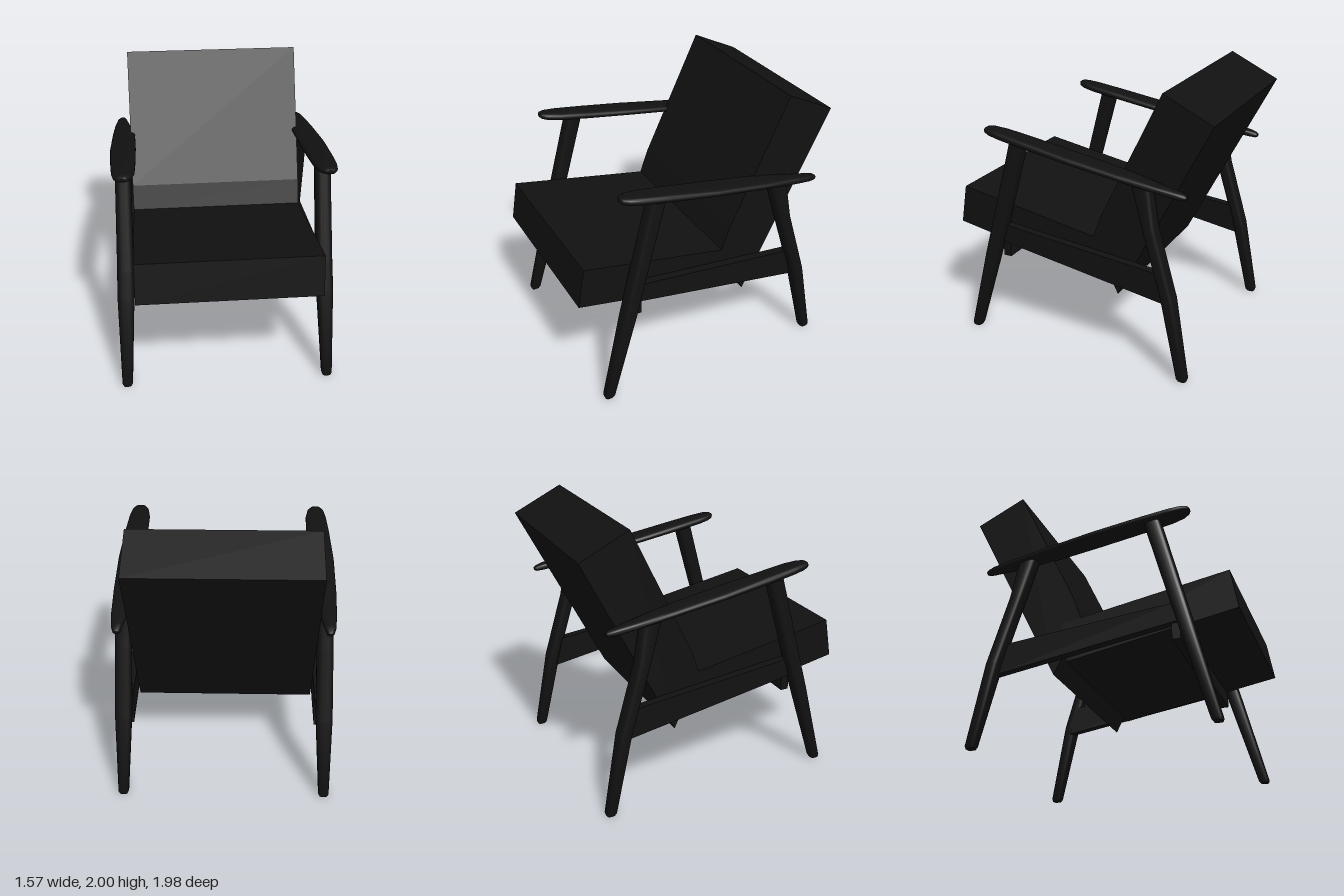
import * as THREE from 'three';
import { toCreasedNormals } from 'three/addons/utils/BufferGeometryUtils.js';

const dark = new THREE.MeshStandardMaterial({ color: 0x111111 });

// Skin a row of rounded-rectangle rings [x, y, z, halfU, halfV].
// U runs along x; V runs along z for upright parts, along y for lying parts.
function loft(rings, lying, power, n = 28) {
  const pos = [], idx = [];
  const soft = (v) => Math.sign(v) * Math.pow(Math.abs(v), power);
  for (const [x, y, z, hu, hv] of rings) {
    for (let i = 0; i < n; i++) {
      const a = (i / n) * Math.PI * 2;
      const u = hu * soft(Math.cos(a)), v = hv * soft(Math.sin(a));
      pos.push(x + u, lying ? y + v : y, lying ? z : z - v);
    }
  }
  const last = rings.length - 1, c0 = rings.length * n, c1 = c0 + 1;
  pos.push(...rings[0].slice(0, 3), ...rings[last].slice(0, 3));
  for (let i = 0; i < n; i++) {
    const j = (i + 1) % n;
    for (let r = 0; r < last; r++) {
      const a = r * n + i, b = r * n + j;
      idx.push(a, b, b + n, a, b + n, a + n);
    }
    idx.push(c0, j, i, c1, last * n + i, last * n + j);
  }
  const g = new THREE.BufferGeometry();
  g.setAttribute('position', new THREE.Float32BufferAttribute(pos, 3));
  g.setIndex(idx);
  return toCreasedNormals(g, 0.7);
}

// Extrude a side profile of [z, y] points between two x positions.
function slab(points, x0, x1) {
  const shape = new THREE.Shape(points.map(([z, y]) => new THREE.Vector2(-z, y)));
  const g = new THREE.ExtrudeGeometry(shape, { depth: x1 - x0, bevelEnabled: false });
  g.rotateY(Math.PI / 2);
  g.translate(x0, 0, 0);
  return g;
}

export function createModel() {
  const group = new THREE.Group();
  const add = (name, geometry, parent = group) => {
    const mesh = new THREE.Mesh(geometry, dark);
    mesh.name = name;
    parent.add(mesh);
    return mesh;
  };

  // Cushions
  add('seatCushion', slab([[0.99, 0.8], [0.94, 1.09], [-0.27, 0.88], [-0.225, 0.585]], -0.64, 0.64));
  add('backCushion', slab([[-0.63, 2], [-0.19, 1.08], [-0.125, 0.9], [-0.318, 0.5], [-0.985, 1.83]], -0.64, 0.64));

  // Stretcher under the front of the seat
  add('frontStretcher', slab([[0.6, 0.62], [0.6, 0.735], [0.54, 0.74], [0.54, 0.62]], -0.68, 0.68));

  // Legs, tapered towards small chamfered feet
  const frontLeg = loft([
    [0.728, 0, 0.838, 0.03, 0.03],
    [0.728, 0.018, 0.834, 0.038, 0.039],
    [0.71, 0.65, 0.662, 0.06, 0.052],
    [0.703, 0.85, 0.607, 0.059, 0.055],
    [0.688, 1.54, 0.42, 0.055, 0.062],
  ], false, 0.6);
  const rearLeg = loft([
    [0.728, 0, -0.862, 0.03, 0.03],
    [0.728, 0.018, -0.859, 0.038, 0.039],
    [0.71, 0.6, -0.738, 0.06, 0.048],
    [0.7, 1.1, -0.588, 0.058, 0.05],
    [0.69, 1.4, -0.518, 0.055, 0.07],
  ], false, 0.6);

  // Armrest: [z, inner x, outer x, half thickness], sloping down to the back
  const armRings = [
    [0.692, 0.67, 0.71, 0.012], [0.68, 0.65, 0.73, 0.021], [0.64, 0.625, 0.75, 0.028],
    [0.55, 0.607, 0.764, 0.031], [0.35, 0.602, 0.775, 0.031], [0, 0.6, 0.785, 0.029],
    [-0.38, 0.607, 0.775, 0.027], [-0.65, 0.65, 0.76, 0.026], [-0.78, 0.67, 0.745, 0.025],
    [-0.83, 0.68, 0.73, 0.02], [-0.845, 0.69, 0.72, 0.011],
  ].map(([z, a, b, t]) => [(a + b) / 2, 1.481 + 0.153 * z, z, (b - a) / 2, t]);
  const arm = loft(armRings.reverse(), true, 0.75);

  // Side rail, deeper towards the back
  const rail = slab([[0.61, 0.745], [0.59, 0.88], [-0.67, 0.757], [-0.73, 0.535]], 0.64, 0.7);

  // Mirrored side frames
  for (const side of [1, -1]) {
    const frame = new THREE.Group();
    frame.name = side > 0 ? 'leftFrame' : 'rightFrame';
    frame.scale.x = side;
    add('frontLeg', frontLeg, frame);
    add('rearLeg', rearLeg, frame);
    add('armrest', arm, frame);
    add('sideRail', rail, frame);
    group.add(frame);
  }
  return group;
}
